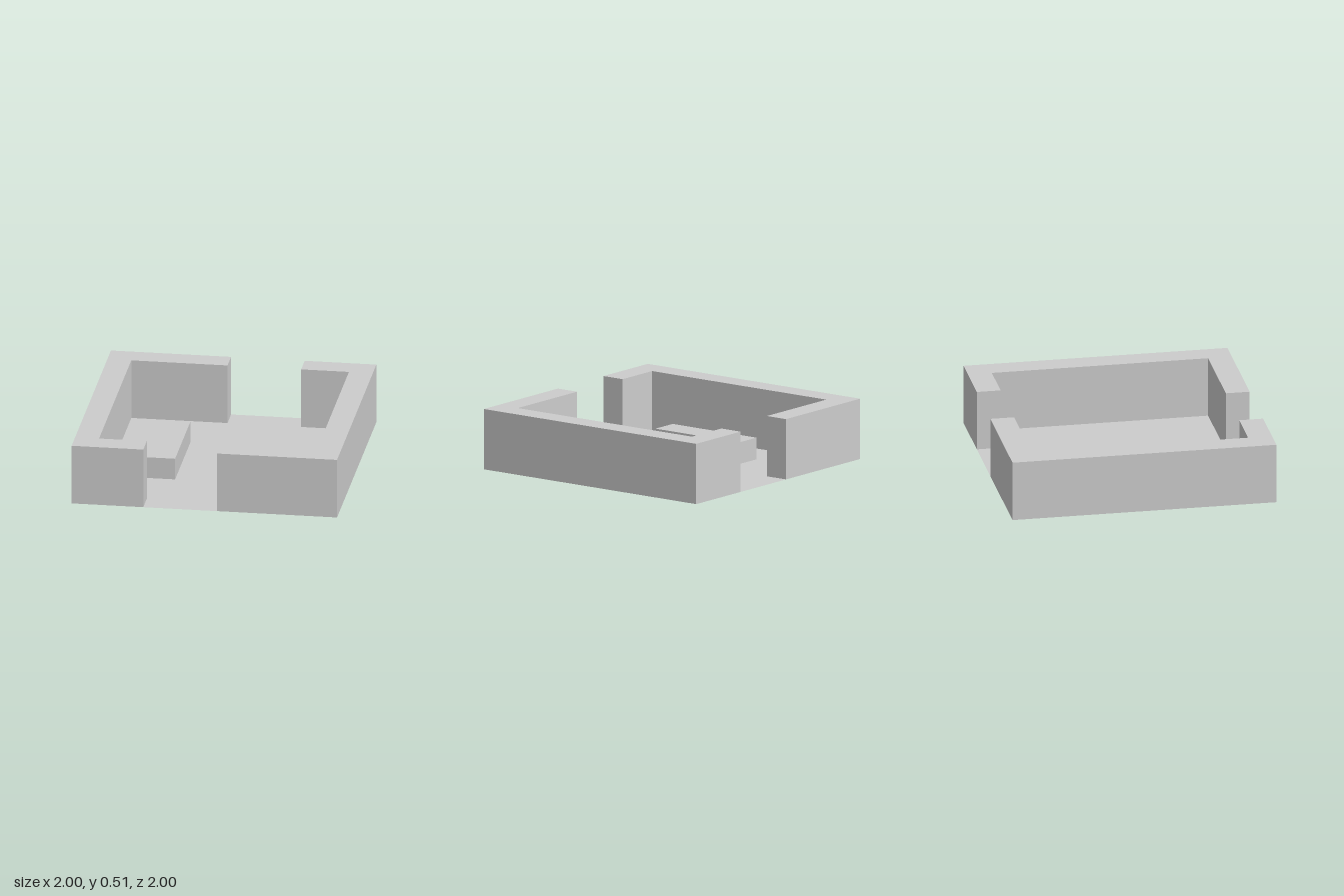
import * as THREE from 'three';
import { mergeGeometries } from 'three/addons/utils/BufferGeometryUtils.js';

const BASE = 0.05, TOP = 0.51;
const OUT = 1, IN = 0.82;        // outer and inner half widths of the walls
const FRONT = -0.46, BACK = -0.095; // door jambs of the right half

const material = new THREE.MeshStandardMaterial({
  color: 0xcccccc, flatShading: true, side: THREE.DoubleSide,
});

// Horizontal sheet from [x, z] points at height y, facing up
function sheet(points, y) {
  const shape = new THREE.Shape(points.map(([x, z]) => new THREE.Vector2(x, -z)));
  return new THREE.ShapeGeometry(shape).rotateX(-Math.PI / 2).translate(0, y, 0);
}

// Hollow wall: a top sheet and upright faces along the outline, open underneath
function wallShell(points) {
  const height = TOP - BASE;
  const faces = points.map(([x, z], i) => {
    const [nx, nz] = points[(i + 1) % points.length];
    return new THREE.PlaneGeometry(Math.hypot(nx - x, nz - z), height)
      .rotateY(Math.atan2(z - nz, nx - x))
      .translate((x + nx) / 2, BASE + height / 2, (z + nz) / 2);
  });
  return mergeGeometries([sheet(points, TOP), ...faces]);
}

export function createModel() {
  const model = new THREE.Group();
  model.name = 'room';
  const add = (name, geometry) => {
    const mesh = new THREE.Mesh(geometry, material);
    mesh.name = name;
    model.add(mesh);
    return mesh;
  };

  // Inner side of the right wall, from the front door to the back door
  const inner = [
    [FRONT, OUT], [FRONT, IN], [-IN, IN],
    [-IN, -IN], [BACK, -IN], [BACK, -OUT],
  ];

  // Two C-shaped walls, one the half turn of the other
  const outline = [[-OUT, -OUT], [-OUT, OUT], ...inner];
  const shell = wallShell(outline);
  add('rightWall', shell);
  add('leftWall', shell).rotation.y = Math.PI;

  // Thin floor between the walls, reaching out through both doorways
  add('floor', sheet([...inner, ...inner.map(([x, z]) => [-x, -z])], BASE));

  // Long counter standing through the floor
  add('counter', new THREE.BoxGeometry(0.21, 0.215, 0.79).translate(-0.415, 0.1075, 0));

  return model;
}
